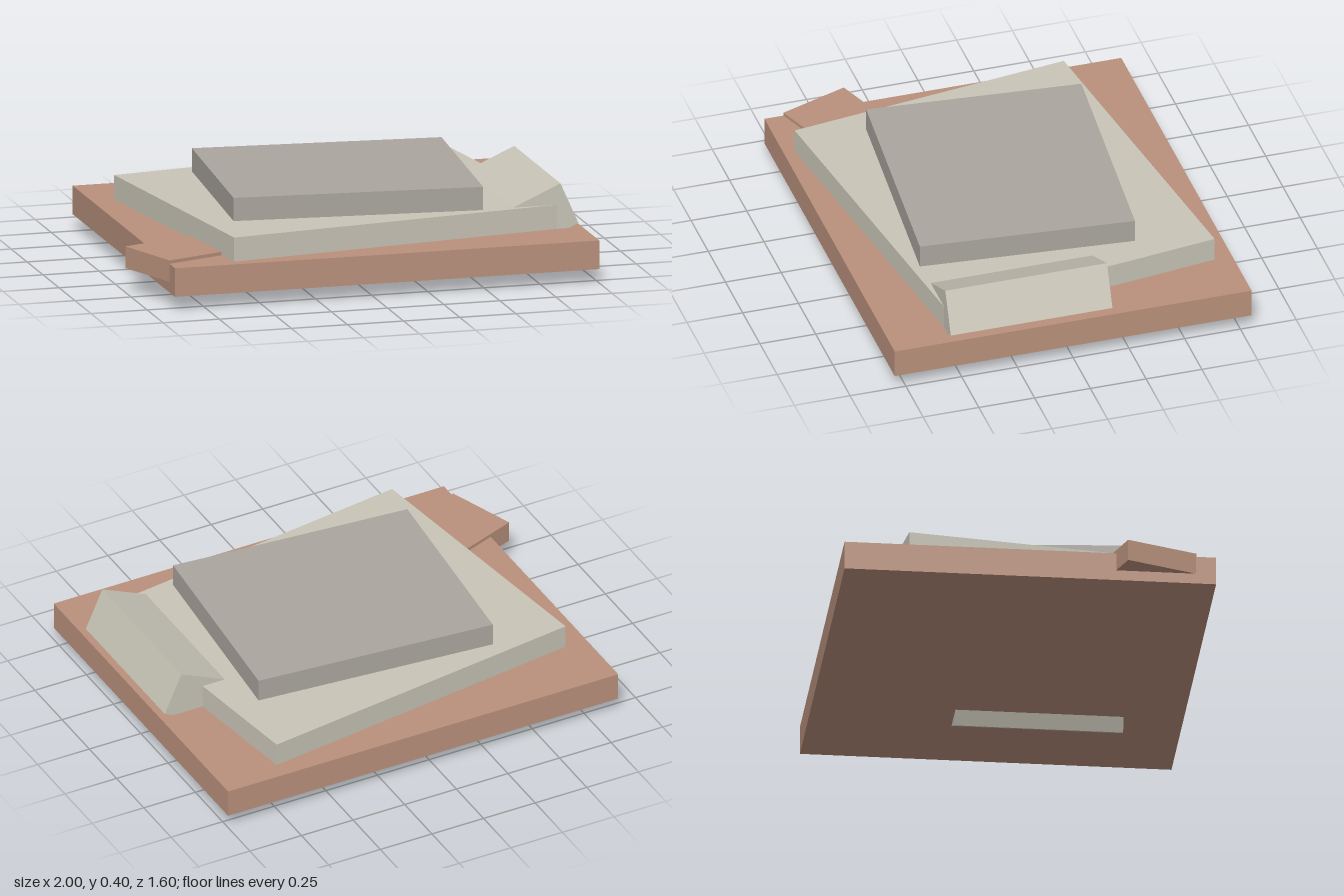
import * as THREE from 'three';

const flat = (name, color) => {
  const m = new THREE.MeshStandardMaterial({ color });
  m.name = name;
  return m;
};

export function createModel() {
  const clay = flat('clay brown', 0xb9917c);
  const stone = flat('pale stone', 0xc8c4b7);
  const grey = flat('warm grey', 0xaaa59e);

  const group = new THREE.Group();
  group.name = 'stackedSlabs';

  // One box slab: size, centre, turn about y and tilt about z
  const slab = (name, material, size, position, turn = 0, tilt = 0) => {
    const mesh = new THREE.Mesh(new THREE.BoxGeometry(...size), material);
    mesh.name = name;
    mesh.position.set(...position);
    mesh.rotation.set(0, turn, tilt);
    group.add(mesh);
  };

  // Main stack
  slab('baseSlab', clay, [1.89, 0.126, 1.6], [0.055, 0.127, 0]);
  slab('middleSlab', stone, [1.525, 0.107, 1.273], [0.055, 0.2425, 0.015], 0.138);
  slab('topSlab', grey, [1.089, 0.103, 0.943], [0.0525, 0.3465, 0.0325], -0.087);

  // Loose pieces: a block leaning through the edge and a plank under the middle slab
  slab('leaningBlock', stone, [0.51, 0.197, 0.725], [0.7075, 0.196, 0.18], 0, 0.418);
  slab('sidePlank', clay, [0.5, 0.095, 0.324], [-0.71, 0.1575, 0.477], 0.349);

  return group;
}
